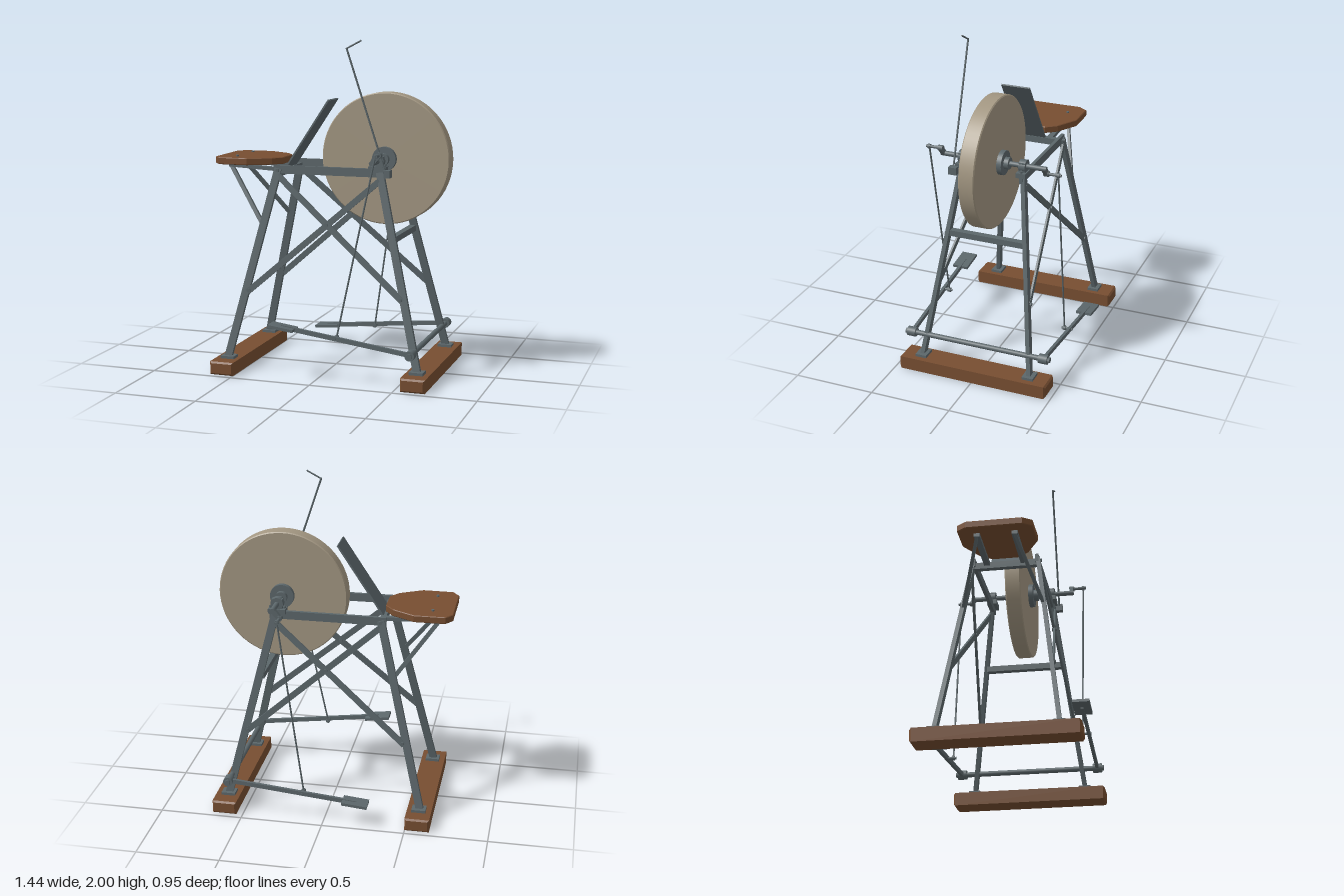
import * as THREE from 'three';

const mat = (name, color) => {
  const m = new THREE.MeshStandardMaterial({ color });
  m.name = name;
  return m;
};

export function createModel() {
  const root = new THREE.Group();
  root.name = 'treadleGrindstone';
  const iron = mat('iron', 0x5c676b);
  const wood = mat('wood', 0x774e31);
  const stone = mat('stone', 0xa39782);

  const V = (p) => new THREE.Vector3(...p);
  const add = (name, geo, m, pos = [0, 0, 0]) => {
    const mesh = new THREE.Mesh(geo, m);
    mesh.name = name;
    mesh.position.set(...pos);
    root.add(mesh);
    return mesh;
  };
  const box = (name, size, pos, m = iron) => add(name, new THREE.BoxGeometry(...size), m, pos);

  // Flat bar from a to b; h is its depth in the side plane, t its thickness across
  const bar = (name, a, b, h, t) => {
    const A = V(a), B = V(b), d = B.clone().sub(A), len = d.length();
    d.normalize();
    const s = Math.abs(d.z) > 0.9 ? V([1, 0, 0]) : V([0, 0, 1]);
    s.addScaledVector(d, -s.dot(d)).normalize();
    const x = d.clone().cross(s);
    const mesh = add(name, new THREE.BoxGeometry(h, len, t), iron);
    mesh.quaternion.setFromRotationMatrix(new THREE.Matrix4().makeBasis(x, d, s));
    mesh.position.copy(A.add(B).multiplyScalar(0.5));
    return mesh;
  };

  // Round rod from a to b
  const rod = (name, a, b, r, m = iron, sides = 16) => {
    const A = V(a), B = V(b), d = B.clone().sub(A);
    const mesh = add(name, new THREE.CylinderGeometry(r, r, d.length(), sides), m);
    mesh.quaternion.setFromUnitVectors(V([0, 1, 0]), d.normalize());
    mesh.position.copy(A.add(B).multiplyScalar(0.5));
    return mesh;
  };

  // Outline extruded along its normal with a small chamfer
  const slab = (pts, depth, bevel) => {
    const g = new THREE.ExtrudeGeometry(new THREE.Shape(pts.map((p) => new THREE.Vector2(...p))), {
      depth: depth - 2 * bevel, bevelEnabled: true, bevelSize: bevel, bevelOffset: -bevel,
      bevelThickness: bevel, bevelSegments: 1,
    });
    return g.translate(0, 0, bevel);
  };

  // Timber feet
  for (const x of [-0.572, 0.613]) {
    const g = slab([[-0.074, 0], [0.074, 0], [0.074, 0.08], [-0.074, 0.08]], 0.94, 0.01);
    add('footBeam', g, wood, [x, 0, -0.47]);
  }

  // Both side frames
  for (const s of [-1, 1]) {
    for (const [x0, x1, px] of [[-0.575, -0.3, -0.57], [0.61, 0.335, 0.61]]) {
      box('footPlate', [0.085, 0.016, 0.07], [px, 0.088, s * 0.345]);
      bar('leg', [x0, 0.085, s * 0.345], [x1, 1.23, s * 0.195], 0.045, 0.025);
    }
    box('topRail', [0.7, 0.05, 0.02], [0.02, 1.225, s * 0.19]);
    bar('crossBrace', [-0.465, 0.485, s * 0.3], [0.335, 1.18, s * 0.208], 0.036, 0.012);
    bar('crossBrace', [-0.3, 1.19, s * 0.206], [0.505, 0.49, s * 0.298], 0.036, 0.012);
    const bolts = [[0.02, 0.91, 0.245], [-0.3, 1.22, 0.205], [-0.455, 0.495, 0.3], [0.495, 0.5, 0.3]];
    for (const [x, y, z] of bolts) {
      rod('frameBolt', [x, y, s * (z - 0.015)], [x, y, s * (z + 0.012)], 0.011, iron, 6);
    }

    // Seat supports
    bar('seatRail', [-0.65, 1.232, s * 0.11], [-0.285, 1.212, s * 0.11], 0.022, 0.035);
    bar('seatStrut', [-0.64, 1.23, s * 0.11], [-0.385, 0.89, s * 0.238], 0.024, 0.018);
    rod('seatBolt', [-0.595, 1.28, s * 0.125], [-0.595, 1.294, s * 0.125], 0.009);

    // Axle bearings
    box('bearingBase', [0.105, 0.03, 0.06], [0.322, 1.25, s * 0.19]);
    box('bearingBlock', [0.065, 0.075, 0.04], [0.322, 1.285, s * 0.19]);
    rod('bearingCap', [0.322, 1.295, s * 0.17], [0.322, 1.295, s * 0.21], 0.038, iron, 24);
    for (const dx of [-0.042, 0.042]) {
      rod('bearingBolt', [0.322 + dx, 1.26, s * 0.19], [0.322 + dx, 1.278, s * 0.19], 0.009, iron, 6);
    }

    // Hub flange and collar
    rod('hubFlange', [0.322, 1.295, s * 0.046], [0.322, 1.295, s * 0.077], 0.073, iron, 32);
    rod('hubCollar', [0.322, 1.295, s * 0.07], [0.322, 1.295, s * 0.105], 0.036, iron, 24);

    // Crank, connecting rod and treadle, half a turn apart from side to side
    const cx = 0.322 + s * 0.041, cy = 1.296 + s * 0.047;
    const pinY = s > 0 ? 0.272 : 0.165, tipY = s > 0 ? 0.327 : 0.129;
    const slope = (tipY - 0.21) / (-0.27 - 0.59);
    const armY = (x) => 0.21 + slope * (x - 0.59);
    bar('crankArm', [0.322, 1.295, s * 0.315], [cx, cy, s * 0.315], 0.03, 0.022);
    rod('crankBoss', [cx, cy, s * 0.3], [cx, cy, s * 0.33], 0.017);
    rod('crankPin', [cx, cy, s * 0.3], [cx, cy, s * 0.405], 0.009);
    rod('rodEye', [cx, cy, s * 0.38], [cx, cy, s * 0.396], 0.014);
    rod('connectingRod', [cx, cy, s * 0.388], [0.132, pinY, s * 0.388], 0.0055, iron, 8);
    rod('rodEye', [0.132, pinY, s * 0.38], [0.132, pinY, s * 0.396], 0.014);
    rod('treadlePin', [0.132, pinY, s * 0.37], [0.132, pinY, s * 0.44], 0.008);
    bar('treadleArm', [0.59, 0.21, s * 0.425], [-0.2, armY(-0.2), s * 0.425], 0.026, 0.018);
    bar('pedal', [-0.27, tipY, s * 0.425], [-0.115, armY(-0.115), s * 0.425], 0.017, 0.1);
    rod('treadleHub', [0.59, 0.21, s * 0.398], [0.59, 0.21, s * 0.452], 0.029, iron, 24);
    rod('shaftNut', [0.59, 0.21, s * 0.45], [0.59, 0.21, s * 0.465], 0.018, iron, 6);
  }

  // Ties across the frame
  box('rearTie', [0.035, 0.04, 0.4], [-0.3, 1.205, 0]);
  box('legTie', [0.04, 0.036, 0.48], [0.42, 0.84, 0]);
  rod('treadleShaft', [0.59, 0.21, -0.45], [0.59, 0.21, 0.45], 0.016);

  // Seat board
  const half = [[-0.72, 0.165], [-0.68, 0.22], [-0.495, 0.222], [-0.36, 0.145], [-0.31, 0.08]];
  const outline = [...half, ...half.map(([x, z]) => [x, -z]).reverse()].reverse();
  add('seat', slab(outline, 0.042, 0.004), wood, [0, 1.286, 0]).rotation.x = Math.PI / 2;

  // Splash guard
  bar('splashGuard', [-0.303, 1.21, 0], [-0.02, 1.638, 0], 0.01, 0.18);

  // Stone wheel with slightly eased rims, and its axle
  const R = 0.394, W = 0.048, e = 0.006;
  const profile = [[0, -W], [R - e, -W], [R - e, -W], [R, e - W], [R, e - W],
    [R, W - e], [R, W - e], [R - e, W], [R - e, W], [0, W]].map((p) => new THREE.Vector2(...p));
  add('grindstone', new THREE.LatheGeometry(profile, 64), stone, [0.322, 1.295, 0]).rotation.x = Math.PI / 2;
  rod('axle', [0.322, 1.295, -0.33], [0.322, 1.295, 0.33], 0.015, iron, 20);

  // Water can hook on its bracket
  box('hookBracket', [0.036, 0.045, 0.05], [0.39, 1.226, 0.225]);
  rod('hookUpright', [0.384, 1.215, 0.23], [0.14, 1.95, 0.23], 0.006, iron, 8);
  rod('hookTip', [0.14, 1.95, 0.23], [0.228, 1.996, 0.23], 0.005, iron, 8);
  add('hookBend', new THREE.SphereGeometry(0.006, 10, 8), iron, [0.14, 1.95, 0.23]);

  return root;
}
